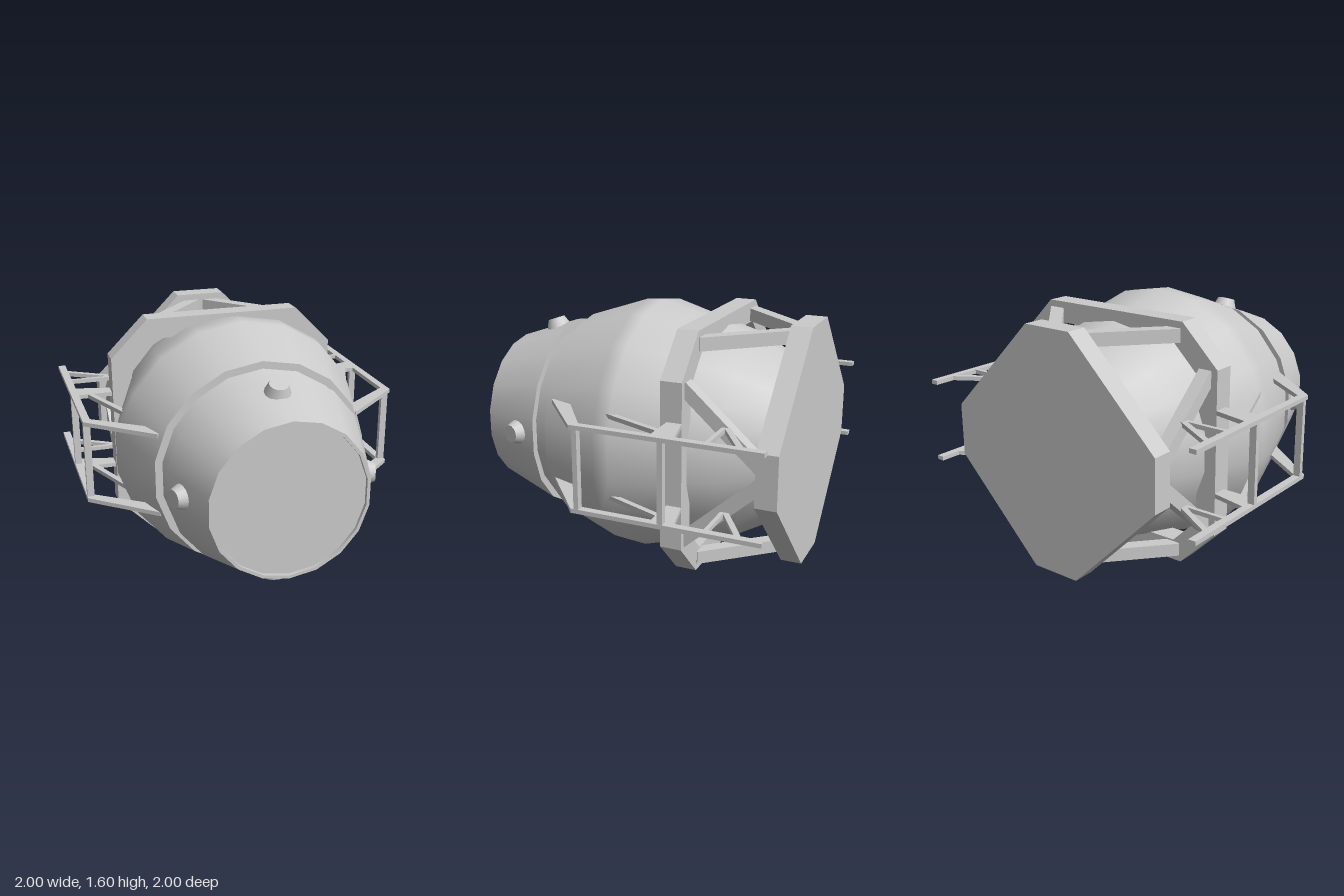
import * as THREE from 'three';

const material = new THREE.MeshStandardMaterial({ color: 0xcccccc });
const CY = 0.8; // height of the long axis

export function createModel() {
  const model = new THREE.Group();
  const add = (name, geometry, parent = model) => {
    const mesh = new THREE.Mesh(geometry, material);
    mesh.name = name;
    parent.add(mesh);
    return mesh;
  };

  // Barrel hull: one lathe per smooth section so the steps stay sharp; points are [z, radius]
  const sections = {
    hull: [[-0.9, 0.465], [-0.6, 0.63], [-0.31, 0.712], [0, 0.8], [0.1, 0.792], [0.49, 0.66]],
    hullStep: [[0.49, 0.66], [0.49, 0.615]],
    neck: [[0.49, 0.615], [0.6, 0.575]],
    noseLip: [[0.6, 0.575], [0.6, 0.62]],
    nose: [[0.6, 0.62], [1, 0.48]],
    hatchRim: [[1, 0.48], [1, 0.46]],
    hatchWall: [[1, 0.46], [0.98, 0.46]],
    hatch: [[0.98, 0.46], [0.98, 0]],
  };
  for (const [name, points] of Object.entries(sections)) {
    const lathe = new THREE.LatheGeometry(points.map(([z, r]) => new THREE.Vector2(r, z)), 18);
    add(name, lathe.rotateX(Math.PI / 2).translate(0, CY, 0));
  }

  // Octagonal frames: half is the half width, flat the half length of the straight sides
  const octagon = (half, flat) => [
    [flat, half], [-flat, half], [-half, flat], [-half, -flat],
    [-flat, -half], [flat, -half], [half, -flat], [half, flat],
  ].map(([x, y]) => new THREE.Vector2(x, y));
  const ring = new THREE.Shape(octagon(0.74, 0.5));
  ring.holes.push(new THREE.Path(octagon(0.61, 0.446).reverse()));
  const slab = { depth: 0.13, bevelEnabled: false };
  add('frameRing', new THREE.ExtrudeGeometry(ring, slab).translate(0, CY, -0.44));
  add('backPlate', new THREE.ExtrudeGeometry(new THREE.Shape(octagon(0.74, 0.16)), slab).translate(0, CY, -1));

  // Four V-shaped pairs of beams between ring and plate, and four knobs on the nose
  const slope = Math.atan2(0.14, 0.4);
  for (let i = 0; i < 4; i++) {
    const quarter = new THREE.Group();
    quarter.name = 'quarter' + (i + 1);
    quarter.position.y = CY;
    quarter.rotation.z = i * Math.PI / 2;
    model.add(quarter);
    for (const s of [1, -1]) {
      const start = new THREE.Vector3(s * 0.465, 0.66, -0.42);
      const end = new THREE.Vector3(s * 0.045, 0.66, -0.89);
      const beam = add('beam', new THREE.BoxGeometry(0.078, 0.08, start.distanceTo(end)), quarter);
      beam.position.copy(start).add(end).multiplyScalar(0.5);
      beam.rotation.y = Math.atan2(start.x - end.x, start.z - end.z);
    }
    const knob = add('knob', new THREE.CylinderGeometry(0.056, 0.086, 0.08, 14), quarter);
    knob.position.set(0, 0.574, 0.75);
    knob.rotation.x = slope;
  }

  // Side racks: flat rails cut in plan as [x, z], mirrored left and right
  const railParts = {
    rail: [[1, -1], [1, 0.13], [0.62, 0.45], [0.6, 0.43], [0.6, 0.345], [0.953, 0.09], [0.953, -1]],
    gusset: [[0.96, -0.49], [0.96, -0.35], [0.7, -0.35], [0.7, -0.43]],
    frontBrace: [[0.9, -0.36], [0.862, -0.36], [0.715, 0.0], [0.74, 0.03]],
    rearBrace: [[0.96, -0.875], [0.96, -0.835], [0.68, -0.66], [0.68, -0.7]],
    crossBrace: [[0.96, -0.685], [0.96, -0.66], [0.68, -0.66], [0.68, -0.685]],
  };
  for (const side of [1, -1]) {
    const rack = new THREE.Group();
    rack.name = side > 0 ? 'leftRack' : 'rightRack';
    model.add(rack);
    for (const top of [1.067, 0.567]) {
      for (const [name, points] of Object.entries(railParts)) {
        const shape = new THREE.Shape(points.map(([x, z]) => new THREE.Vector2(side * x, z)));
        const plan = new THREE.ExtrudeGeometry(shape, { depth: 0.026, bevelEnabled: false });
        add(name, plan.rotateX(Math.PI / 2).translate(0, top, 0));
      }
    }
    // Uprights joining the upper and lower rail
    for (const z of [0.095, -0.42]) {
      add('upright', new THREE.BoxGeometry(0.043, 0.49, 0.03), rack).position.set(side * 0.977, 0.803, z);
    }
  }
  return model;
}
